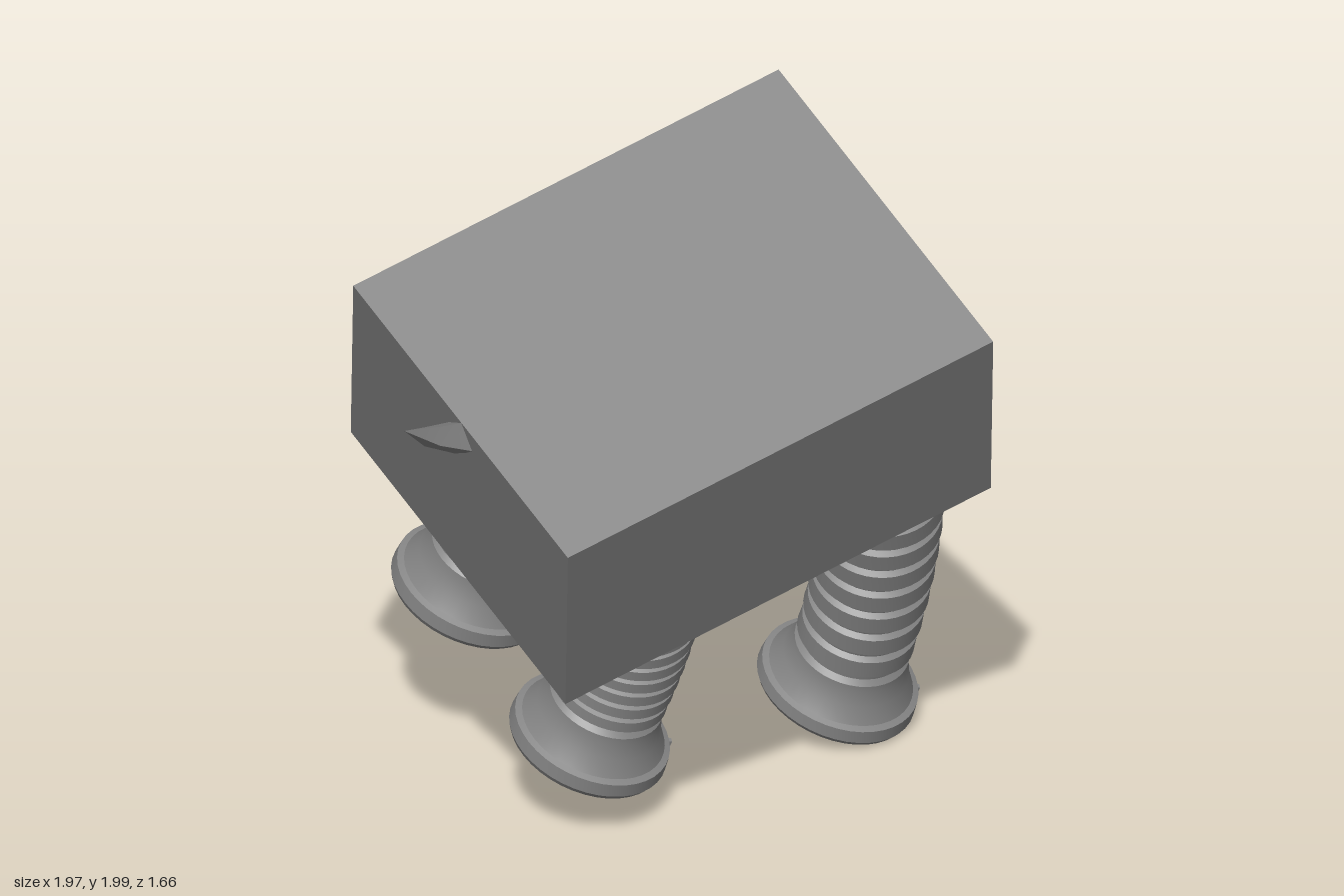
import * as THREE from 'three';
import { toCreasedNormals } from 'three/addons/utils/BufferGeometryUtils.js';

const material = new THREE.MeshStandardMaterial({ color: 0x848484 });

// Turns a [radius, distance] profile along a curve that bends in the XY plane.
function sweep(profile, curve, sides, crease) {
  const length = curve.getLength();
  const points = profile.map(([r, s]) => new THREE.Vector2(r, s));
  const geometry = new THREE.LatheGeometry(points, sides);
  const pos = geometry.attributes.position;
  for (let i = 0; i < pos.count; i++) {
    const t = THREE.MathUtils.clamp(pos.getY(i) / length, 0, 1);
    const p = curve.getPointAt(t);
    const d = curve.getTangentAt(t);
    const x = pos.getX(i);
    pos.setXYZ(i, p.x + x * d.y, p.y - x * d.x, p.z + pos.getZ(i));
  }
  geometry.deleteAttribute('normal');
  return toCreasedNormals(geometry, crease);
}

// Ribbed, bent leg with a flared foot; the sole faces footDir.
const footDir = new THREE.Vector3(-0.38, -0.925, 0);

function makeLeg(name, topX, footX, footY, z) {
  const leg = new THREE.Group();
  leg.name = name;
  const top = new THREE.Vector3(topX, -0.342, z);
  const end = new THREE.Vector3(footX, footY, z);
  const reach = top.distanceTo(end) / 3;
  const curve = new THREE.CubicBezierCurve3(
    top,
    top.clone().add(new THREE.Vector3(0, -reach, 0)),
    end.clone().addScaledVector(footDir, -reach),
    end
  );
  const L = curve.getLength();

  // Collar, wide ribs with narrow grooves, then the foot
  const profile = [[0.195, 0], [0.2, 0.015], [0.19, 0.032], [0.17, 0.05]];
  const ribs = 8;
  const pitch = (L - 0.05 - 0.19) / ribs;
  for (let i = 0; i < ribs; i++) {
    const s = 0.05 + i * pitch;
    const r = 0.178 - 0.012 * (i / ribs);
    profile.push([r - 0.018, s], [r - 0.003, s + pitch * 0.12], [r, s + pitch * 0.72], [r - 0.018, s + pitch * 0.84]);
  }
  profile.push(
    [0.15, L - 0.19], [0.165, L - 0.175], [0.168, L - 0.155], [0.182, L - 0.11], [0.21, L - 0.062],
    [0.228, L - 0.055], [0.232, L - 0.015], [0.224, L], [0, L]
  );
  const limb = new THREE.Mesh(sweep(profile, curve, 40, 0.5), material);
  limb.name = 'ribbedLeg';
  leg.add(limb);

  // Small toenails around the forward side of the rim
  const toes = new THREE.Group();
  toes.name = 'toes';
  toes.position.copy(end);
  toes.rotation.z = Math.atan2(footDir.x, -footDir.y);
  for (let i = -2; i <= 1; i++) {
    const a = i * 0.42;
    const toe = new THREE.Mesh(new THREE.BoxGeometry(0.016, 0.03, 0.014), material);
    toe.name = 'toe';
    toe.position.set(0.231 * Math.cos(a), 0.034, 0.231 * Math.sin(a));
    toe.rotation.y = -a;
    toes.add(toe);
  }
  leg.add(toes);
  return leg;
}

export function createModel() {
  const model = new THREE.Group();
  model.name = 'boxAnimal';

  // Body block
  const body = new THREE.Mesh(new THREE.BoxGeometry(1.403, 0.686, 1.109), material);
  body.name = 'body';
  model.add(body);

  // Four legs: the rear pair is shorter
  for (const [side, z] of [['Left', -0.312], ['Right', 0.298]]) {
    model.add(makeLeg('front' + side + 'Leg', 0.512, 0.36, -1.332, z));
    model.add(makeLeg('rear' + side + 'Leg', -0.288, -0.462, -0.99, z));
  }

  // Pointed, upturned tail
  const tailCurve = new THREE.CatmullRomCurve3([
    new THREE.Vector3(-0.68, 0.258, 0),
    new THREE.Vector3(-0.8, 0.355, 0.008),
    new THREE.Vector3(-0.908, 0.484, 0.03),
  ]);
  const n = tailCurve.getLength();
  const tail = new THREE.Mesh(
    sweep([[0, 0], [0.064, 0], [0.038, n * 0.47], [0, n]], tailCurve, 4, 0.2), material);
  tail.name = 'tail';
  model.add(tail);

  // Tilt of the whole figure
  const x = new THREE.Vector3(0.962, 0.235, 0.139).normalize();
  const z = new THREE.Vector3(-0.041, -0.385, 0.922);
  const y = z.clone().cross(x).normalize();
  z.crossVectors(x, y);
  model.quaternion.setFromRotationMatrix(new THREE.Matrix4().makeBasis(x, y, z));
  model.position.set(0.025, 1.317, 0.1);

  const root = new THREE.Group();
  root.name = 'model';
  root.add(model);
  return root;
}
